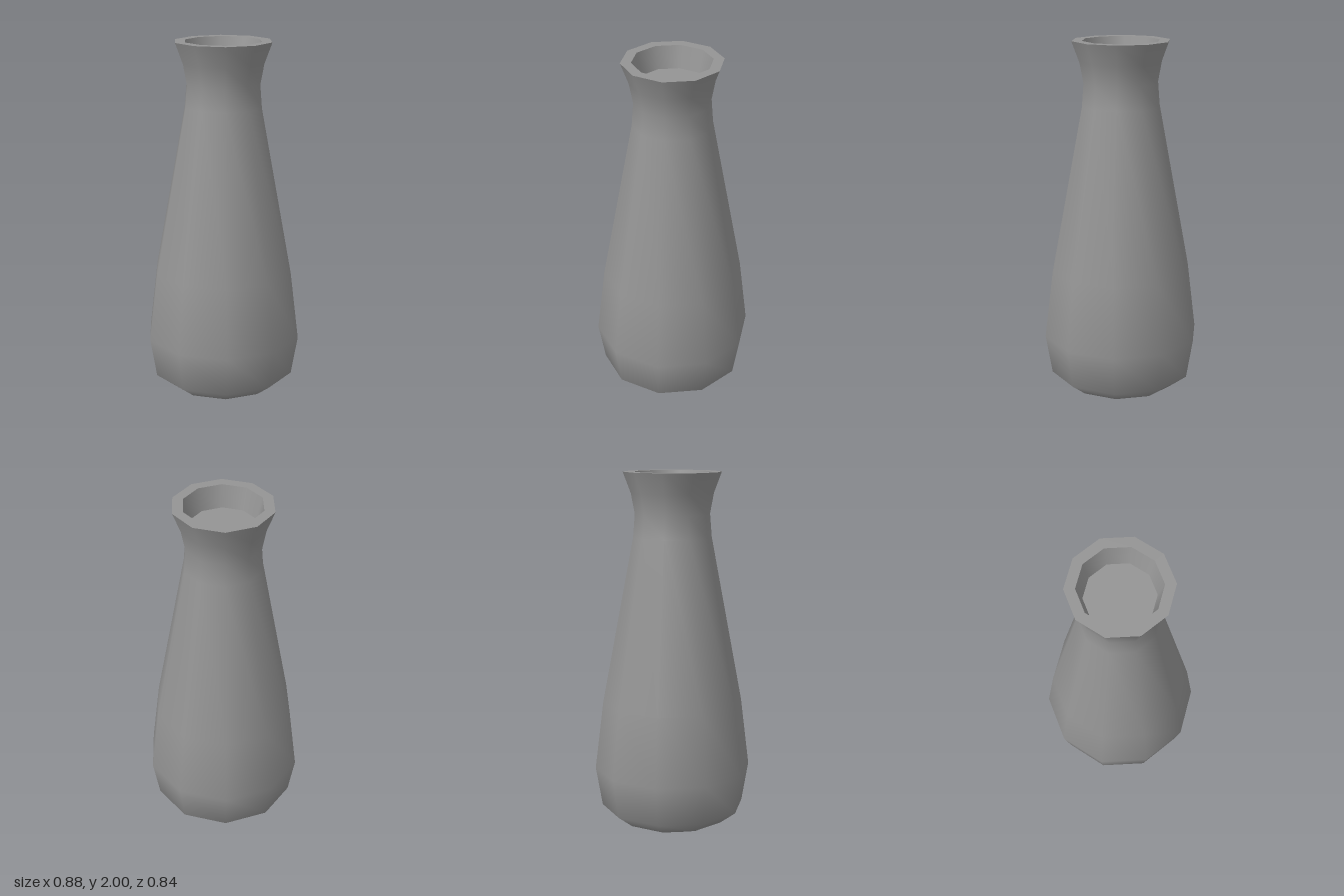
import * as THREE from 'three';

const SIDES = 10;

export function createModel() {
  const group = new THREE.Group();
  group.name = 'vase';
  const grey = new THREE.MeshStandardMaterial({ color: 0x949494 });
  grey.name = 'grey';

  // Turn a [radius, height] profile into a ten-sided ring with corners on the x axis
  function turned(name, profile) {
    const points = profile.map(([r, y]) => new THREE.Vector2(r, y));
    const mesh = new THREE.Mesh(new THREE.LatheGeometry(points, SIDES, Math.PI / 2), grey);
    mesh.name = name;
    group.add(mesh);
  }

  // Smooth outer wall, from the underside up to the flared lip
  turned('body', [
    [0, 0], [0.21, 0.01], [0.307, 0.048], [0.402, 0.12], [0.439, 0.34],
    [0.392, 0.72], [0.217, 1.645], [0.207, 1.773], [0.228, 1.885], [0.271, 2],
  ]);

  // Separate pieces keep the edges of the mouth sharp
  turned('rim', [[0.271, 2], [0.214, 2]]);
  turned('innerWall', [[0.214, 2], [0.183, 1.88]]);
  turned('innerFloor', [[0.183, 1.88], [0, 1.88]]);

  return group;
}
